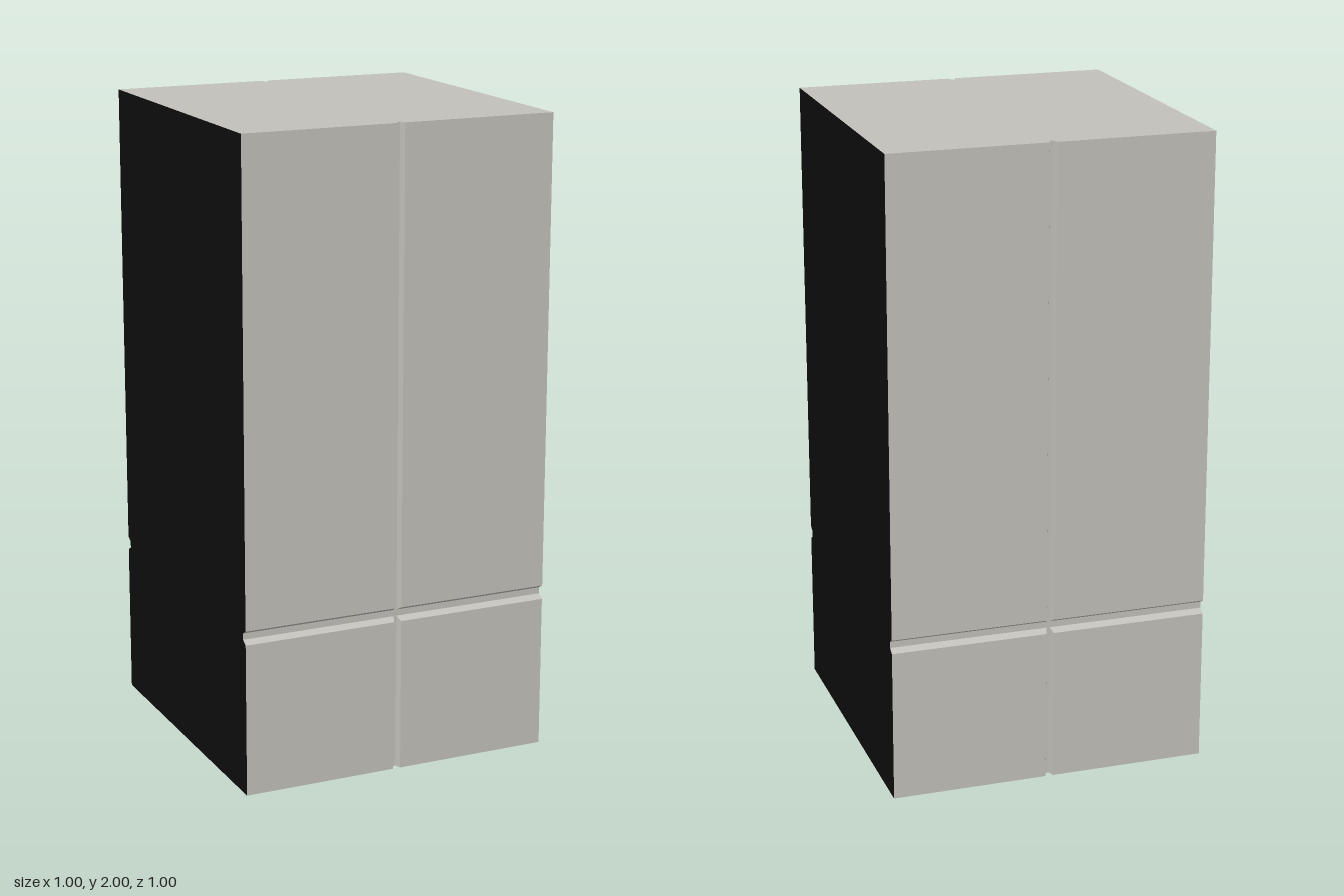
import * as THREE from 'three';

const H = 2, R = 0.5, DEPTH = 0.02;
// Groove half-widths: at the surface and at the floor
const V = { outer: 0.012, floor: 0.005 };
const G = { outer: 0.022, floor: 0.01, y: 0.501 };

// Wall facing +z with a vertical and a horizontal groove, as a stepped height grid
function grooveWall() {
  const xs = [-R, -V.outer, -V.floor, V.floor, V.outer, R];
  const ys = [0, G.y - G.outer, G.y - G.floor, G.y + G.floor, G.y + G.outer, H];
  const deep = (i) => i === 2 || i === 3;
  const point = (i, j) => [xs[i], ys[j], R - (deep(i) || deep(j) ? DEPTH : 0)];
  const pos = [];
  for (let i = 0; i < 5; i++) {
    for (let j = 0; j < 5; j++) {
      const a = point(i, j), b = point(i + 1, j), c = point(i + 1, j + 1), d = point(i, j + 1);
      // diagonals run towards the crossing so the grooves meet in clean mitres
      if ((i < 2) === (j < 2)) pos.push(...a, ...b, ...c, ...a, ...c, ...d);
      else pos.push(...a, ...b, ...d, ...b, ...c, ...d);
    }
  }
  const geo = new THREE.BufferGeometry();
  geo.setAttribute('position', new THREE.Float32BufferAttribute(pos, 3));
  geo.computeVertexNormals();
  return geo;
}

// Flat side, notched where the horizontal grooves run out
function sidePanel() {
  const { outer, floor, y } = G;
  const edge = [[R, 0], [R, y - outer], [R - DEPTH, y - floor], [R - DEPTH, y + floor], [R, y + outer], [R, H]];
  const mirrored = edge.map(([u, v]) => [-u, v]).reverse();
  return new THREE.ShapeGeometry(new THREE.Shape([...edge, ...mirrored].map((p) => new THREE.Vector2(...p))));
}

// Flat top, notched where the vertical grooves run out
function topPanel() {
  const half = [[-R, -R], [-V.outer, -R], [-V.floor, -R + DEPTH], [V.floor, -R + DEPTH], [V.outer, -R], [R, -R]];
  const other = half.map(([u, v]) => [-u, -v]);
  const geo = new THREE.ShapeGeometry(new THREE.Shape([...half, ...other].map((p) => new THREE.Vector2(...p))));
  return geo.rotateX(-Math.PI / 2).translate(0, H, 0);
}

export function createModel() {
  const stone = new THREE.MeshStandardMaterial({ color: 0xc2c0ba, side: THREE.DoubleSide });
  stone.name = 'warm grey';
  const black = new THREE.MeshStandardMaterial({ color: 0x0d0d0d, side: THREE.DoubleSide });
  black.name = 'black';

  const model = new THREE.Group();
  model.name = 'groovedBlock';
  const add = (name, geo, mat, turn = 0) => {
    const mesh = new THREE.Mesh(geo, mat);
    mesh.name = name;
    mesh.rotation.y = turn;
    model.add(mesh);
  };

  // Hollow shell, open underneath
  const wall = grooveWall();
  add('frontWall', wall, stone);
  add('backWall', wall, stone, Math.PI);
  const side = sidePanel().translate(0, 0, R);
  add('leftSide', side, black, Math.PI / 2);
  add('rightSide', side, black, -Math.PI / 2);
  add('top', topPanel(), stone);
  return model;
}
